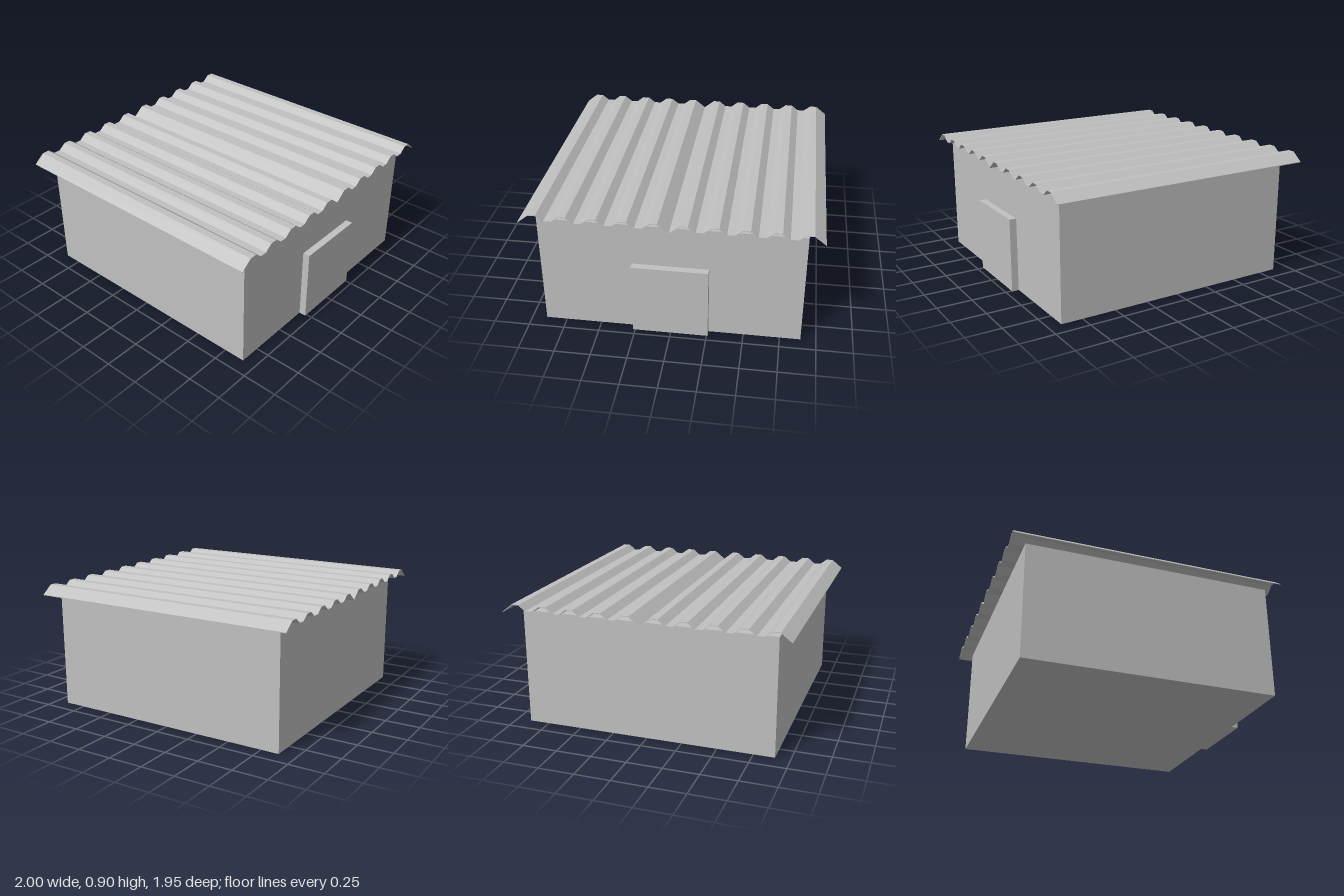
import * as THREE from 'three';

const grey = new THREE.MeshStandardMaterial({ color: 0xc0c0c0 });
grey.name = 'light grey';

// Box given by its min and max corners
function box(name, [x0, y0, z0], [x1, y1, z1]) {
  const geometry = new THREE.BoxGeometry(x1 - x0, y1 - y0, z1 - z0);
  geometry.translate((x0 + x1) / 2, (y0 + y1) / 2, (z0 + z1) / 2);
  const mesh = new THREE.Mesh(geometry, grey);
  mesh.name = name;
  return mesh;
}

// Corrugated sheet: a thin zigzag section with flat ridges and valleys
function roofSheet(name, startX) {
  const ridges = 5, pitch = 0.2, eave = 0.838, valley = 0.858, ridge = 0.897;
  const thickness = 0.005, depth = 1.95;
  const top = [[startX, eave]];
  for (let i = 0; i < ridges; i++) {
    const x = startX + 0.075 + i * pitch;
    top.push([x, ridge], [x + 0.05, ridge]);
    if (i < ridges - 1) top.push([x + 0.1, valley], [x + 0.15, valley]);
  }
  top.push([startX + 1, eave]);

  const bottom = top.map(([x, y]) => [x, y - thickness]).reverse();
  const section = new THREE.Shape([...top, ...bottom].map(([x, y]) => new THREE.Vector2(x, y)));
  const geometry = new THREE.ExtrudeGeometry(section, { depth, bevelEnabled: false });
  geometry.translate(0, 0, -depth / 2);
  const mesh = new THREE.Mesh(geometry, grey);
  mesh.name = name;
  return mesh;
}

export function createModel() {
  const shed = new THREE.Group();
  shed.name = 'shed';

  // Closed body and the door slab standing proud of the front wall
  shed.add(box('walls', [-0.897, 0, -0.88], [0.894, 0.833, 0.905]));
  shed.add(box('door', [-0.265, 0, 0.905], [0.258, 0.527, 0.955]));

  // Two corrugated sheets side by side
  const roof = new THREE.Group();
  roof.name = 'roof';
  roof.add(roofSheet('rightRoofSheet', -1), roofSheet('leftRoofSheet', 0));
  shed.add(roof);
  return shed;
}
